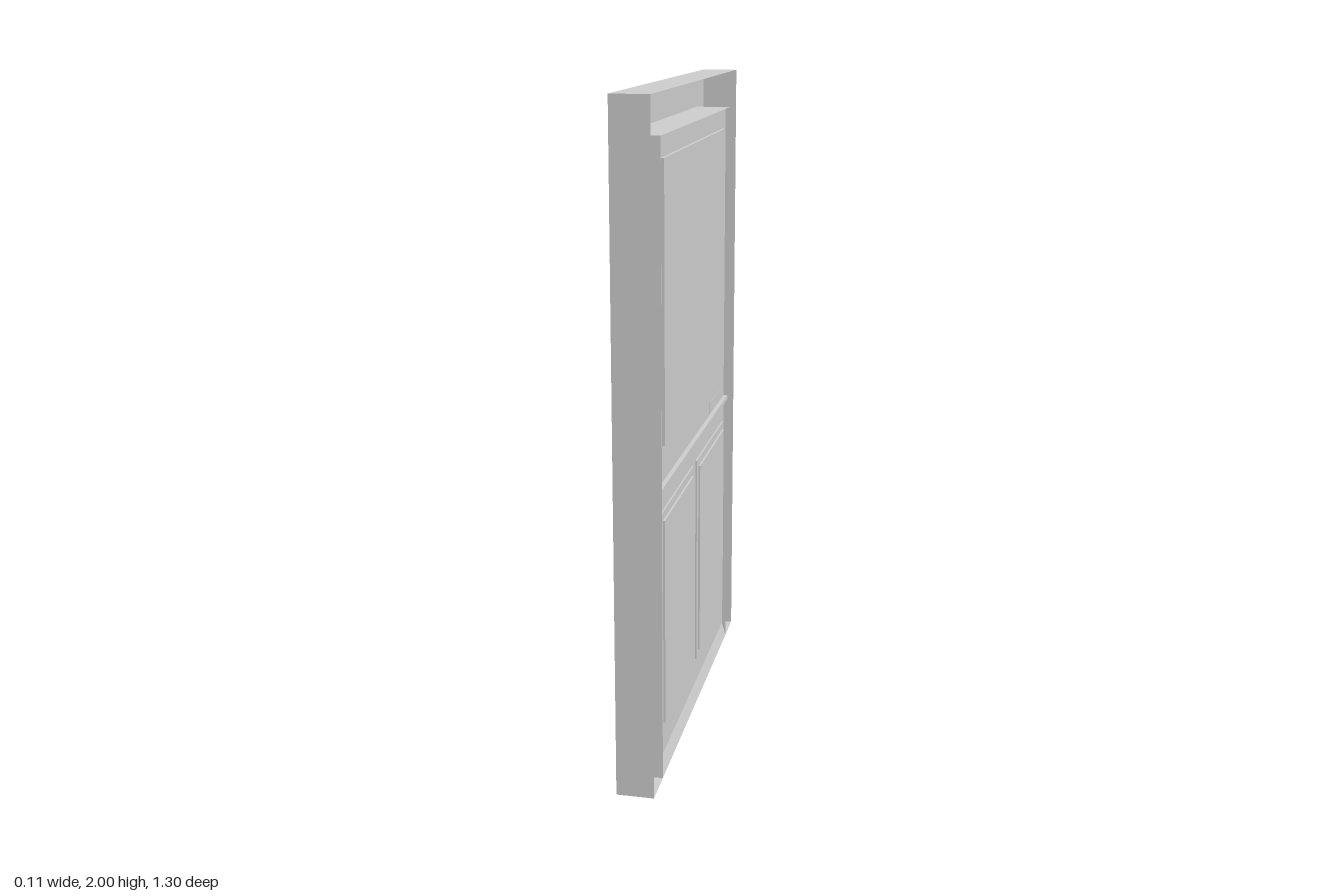
import * as THREE from 'three';

const mat = new THREE.MeshStandardMaterial({ color: 0xcccccc, flatShading: true, side: THREE.DoubleSide });
const BACK = -0.056, FRONT = 0.056; // depth of the frame
const SHEET = 0.042;                // depth of the door sheet

const rect = (x0, x1, y0, y1) => [[x0, y0], [x1, y0], [x1, y1], [x0, y1]];
const points = (loop) => loop.map(([x, y]) => new THREE.Vector2(x, y));

function add(group, name, geometry) {
  const mesh = new THREE.Mesh(geometry, mat);
  mesh.name = name;
  group.add(mesh);
  return mesh;
}

// Flat face at a given depth, with optional openings
function face(group, name, loop, depth, holes = []) {
  const shape = new THREE.Shape(points(loop));
  for (const h of holes) shape.holes.push(new THREE.Path(points(h)));
  add(group, name, new THREE.ShapeGeometry(shape)).position.z = depth;
}

// Open ring of walls that follows a counter-clockwise outline
function walls(group, name, loop, z0, z1) {
  const pos = [];
  loop.forEach(([ax, ay], i) => {
    const [bx, by] = loop[(i + 1) % loop.length];
    pos.push(ax, ay, z0, bx, by, z0, bx, by, z1, ax, ay, z0, bx, by, z1, ax, ay, z1);
  });
  const g = new THREE.BufferGeometry();
  g.setAttribute('position', new THREE.Float32BufferAttribute(pos, 3));
  g.computeVertexNormals();
  add(group, name, g);
}

function box(group, name, x0, x1, y0, y1, z0, z1) {
  add(group, name, new THREE.BoxGeometry(x1 - x0, y1 - y0, z1 - z0))
    .position.set((x0 + x1) / 2, (y0 + y1) / 2, (z0 + z1) / 2);
}

export function createModel() {
  const model = new THREE.Group();
  model.name = 'door';
  const body = new THREE.Group();
  body.name = 'doorAssembly';
  body.rotation.y = Math.PI / 2; // the door's outer face looks along +x
  model.add(body);

  // Frame: hollow, open on the outer side
  const frame = [[-0.65, 0], [-0.53, 0], [-0.53, 1.885], [0.53, 1.885],
    [0.53, 0], [0.65, 0], [0.65, 2], [-0.65, 2]];
  face(body, 'frameFace', frame, BACK);
  walls(body, 'frameWalls', frame, BACK, FRONT);

  // Door sheet with openings for the raised fields
  const upper = rect(-0.465, 0.465, 1.01, 1.82);
  const lower = [-1, 1].map((s) => ({
    outer: rect(s * 0.265 - 0.237, s * 0.265 + 0.237, 0.13, 0.815),
    inner: rect(s * 0.265 - 0.213, s * 0.265 + 0.213, 0.155, 0.79),
  }));
  face(body, 'doorSheet', rect(-0.53, 0.53, 0.045, 1.885), SHEET,
    [upper, ...lower.map((p) => p.outer)]);

  // Upper field
  walls(body, 'upperFieldEdge', upper, SHEET, SHEET + 0.009);
  face(body, 'upperField', upper, SHEET + 0.009);

  // Two lower panels, stepped twice
  for (const { outer, inner } of lower) {
    walls(body, 'panelBorderEdge', outer, SHEET, SHEET + 0.005);
    face(body, 'panelBorder', outer, SHEET + 0.005, [inner]);
    walls(body, 'panelFieldEdge', inner, SHEET + 0.005, SHEET + 0.011);
    face(body, 'panelField', inner, SHEET + 0.011);
  }

  // Ledge across the middle
  box(body, 'middleLedge', -0.53, 0.53, 0.885, 0.9, SHEET, FRONT);

  // Sloped weatherboard along the bottom
  const profile = new THREE.Shape(points([[-SHEET, 0], [-SHEET, 0.045], [-FRONT, 0]]));
  const board = add(body, 'weatherboard',
    new THREE.ExtrudeGeometry(profile, { depth: 1.06, bevelEnabled: false }));
  board.rotation.y = Math.PI / 2;
  board.position.x = -0.53;

  // Lock box behind the sheet
  box(body, 'lockBox', 0.27, 0.44, 0.905, 0.94, -0.003, SHEET + 0.001);

  return model;
}
